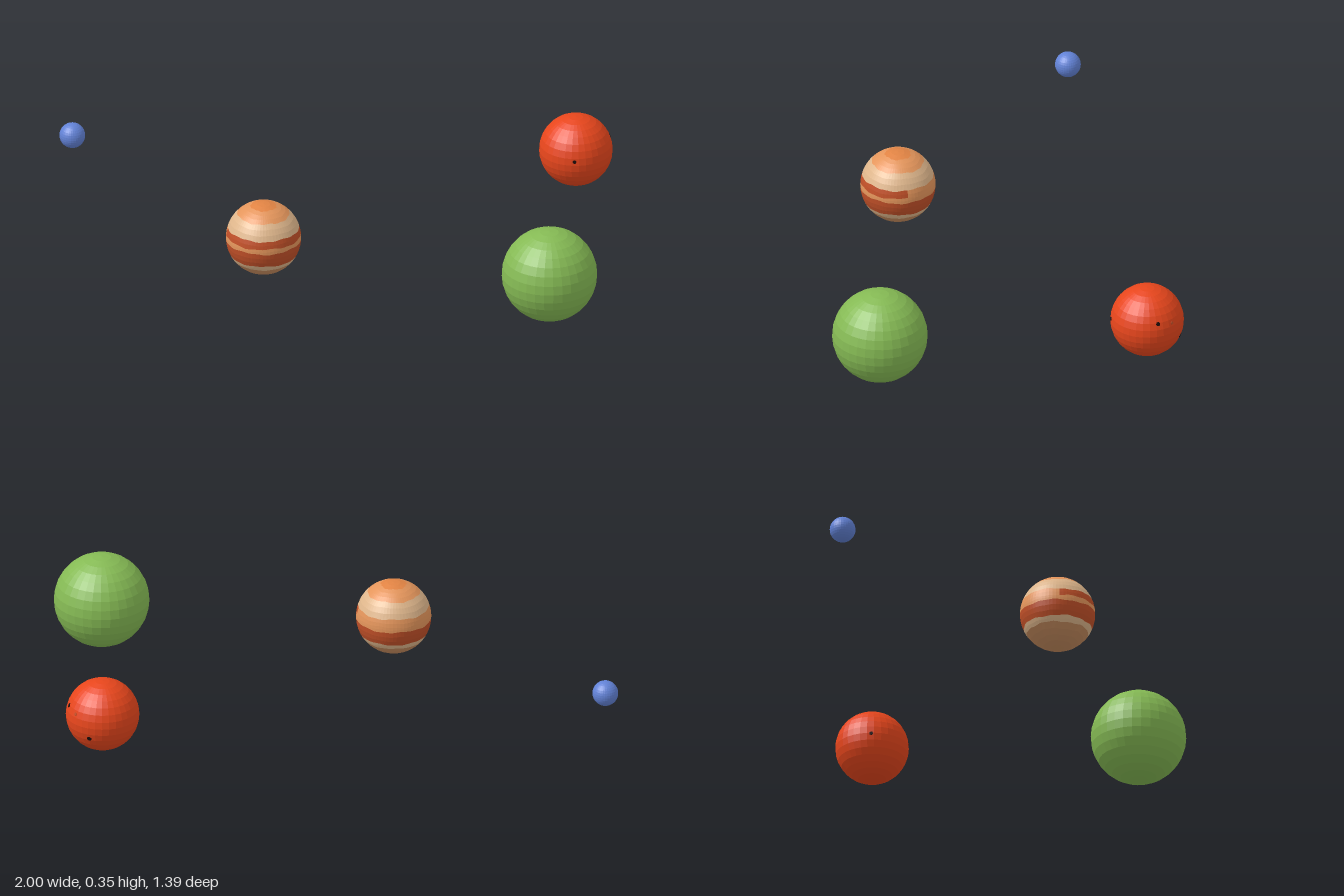
import * as THREE from 'three';

const colour = (name, hex) => {
  const m = new THREE.MeshStandardMaterial({ color: hex, flatShading: true });
  m.name = name;
  return m;
};

// Slightly ragged offset of a band edge, in radians of latitude
const wave = (phi, seed) => 0.014 * Math.sin(5 * phi + seed * 2.1) + 0.01 * Math.sin(13 * phi + seed);

// Slice of a sphere between two heights (fractions of the radius) with ragged edges
function bandGeometry(r, top, bottom, phi0 = 0, phi1 = Math.PI * 2) {
  const columns = Math.round((phi1 - phi0) / (Math.PI * 2) * 64);
  const edge = (h, phi) => Math.acos(h) + (Math.abs(h) === 1 ? 0 : wave(phi, h * 10));
  const rows = Math.max(2, Math.ceil((Math.acos(bottom) - Math.acos(top)) / 0.196));
  const g = new THREE.PlaneGeometry(1, 1, columns, rows);
  const { position, uv } = g.attributes;
  for (let i = 0; i < position.count; i++) {
    const phi = phi0 + (phi1 - phi0) * uv.getX(i);
    const theta = THREE.MathUtils.lerp(edge(bottom, phi), edge(top, phi), uv.getY(i));
    position.setXYZ(i, -r * Math.cos(phi) * Math.sin(theta), r * Math.cos(theta), r * Math.sin(phi) * Math.sin(theta));
  }
  g.computeVertexNormals();
  return g;
}

export function createModel() {
  const model = new THREE.Group();
  const green = colour('leaf green', 0x85ba54);
  const red = colour('bright red', 0xe8461c);
  const blue = colour('soft blue', 0x6282d6);
  const black = colour('spot black', 0x1c0a08);
  const deepOrange = colour('deep orange', 0xe28444);
  const orange = colour('pale orange', 0xe4955b);
  const cream = colour('cream', 0xe0b78c);
  const rust = colour('rust', 0xc25028);
  const tan = colour('tan', 0xc68c5e);

  const add = (parent, name, geometry, material) => {
    const mesh = new THREE.Mesh(geometry, material);
    mesh.name = name;
    parent.add(mesh);
    return mesh;
  };

  // Plain planets
  const planets = [
    ['greenPlanet', green, 0.174, [0.692, 0.174, 0.523]],
    ['redPlanet', red, 0.134, [0.866, 0.186, -0.437]],
    ['bluePlanet', blue, 0.047, [-0.953, 0.21, -0.649]],
  ];
  for (const [name, material, r, p] of planets) {
    add(model, name, new THREE.SphereGeometry(r, 32, 16), material).position.set(...p);
  }

  // Small spots scattered over the red planet: direction, radius, colour
  const redCentre = new THREE.Vector3(...planets[1][3]);
  const spots = [
    [[0.93, 0.36, -0.05], 0.008, black],
    [[0.84, 0.28, -0.47], 0.006, rust],
    [[-0.115, 0.11, 0.985], 0.007, black],
    [[-0.995, -0.015, -0.08], 0.007, black],
    [[0.51, -0.33, -0.78], 0.009, black],
  ];
  for (const [d, r, material] of spots) {
    const dir = new THREE.Vector3(...d).normalize();
    const spot = add(model, 'surfaceSpot', new THREE.CylinderGeometry(r, r, 0.003, 7), material);
    spot.position.copy(redCentre).addScaledVector(dir, 0.133);
    spot.quaternion.setFromUnitVectors(new THREE.Vector3(0, 1, 0), dir);
  }

  // Banded planet, from north cap to south cap
  const banded = new THREE.Group();
  banded.name = 'bandedPlanet';
  banded.position.set(-0.322, 0.186, 0.17);
  model.add(banded);
  const R = 0.137;
  const bands = [
    ['northCap', 1, 0.94, deepOrange],
    ['northBand', 0.94, 0.72, orange],
    ['creamBand', 0.72, 0.33, cream],
    ['equatorBand', 0.12, -0.02, orange],
    ['rustBand', -0.02, -0.43, rust],
    ['southCreamBand', -0.43, -0.58, cream],
    ['southCap', -0.58, -1, tan],
  ];
  for (const [name, top, bottom, material] of bands) {
    add(banded, name, bandGeometry(R, top, bottom), material);
  }
  // Upper stripe is rust across the front and orange behind
  add(banded, 'upperRustBand', bandGeometry(R, 0.33, 0.12, 0, Math.PI), rust);
  add(banded, 'upperOrangeBand', bandGeometry(R, 0.33, 0.12, Math.PI, Math.PI * 2), orange);

  return model;
}
